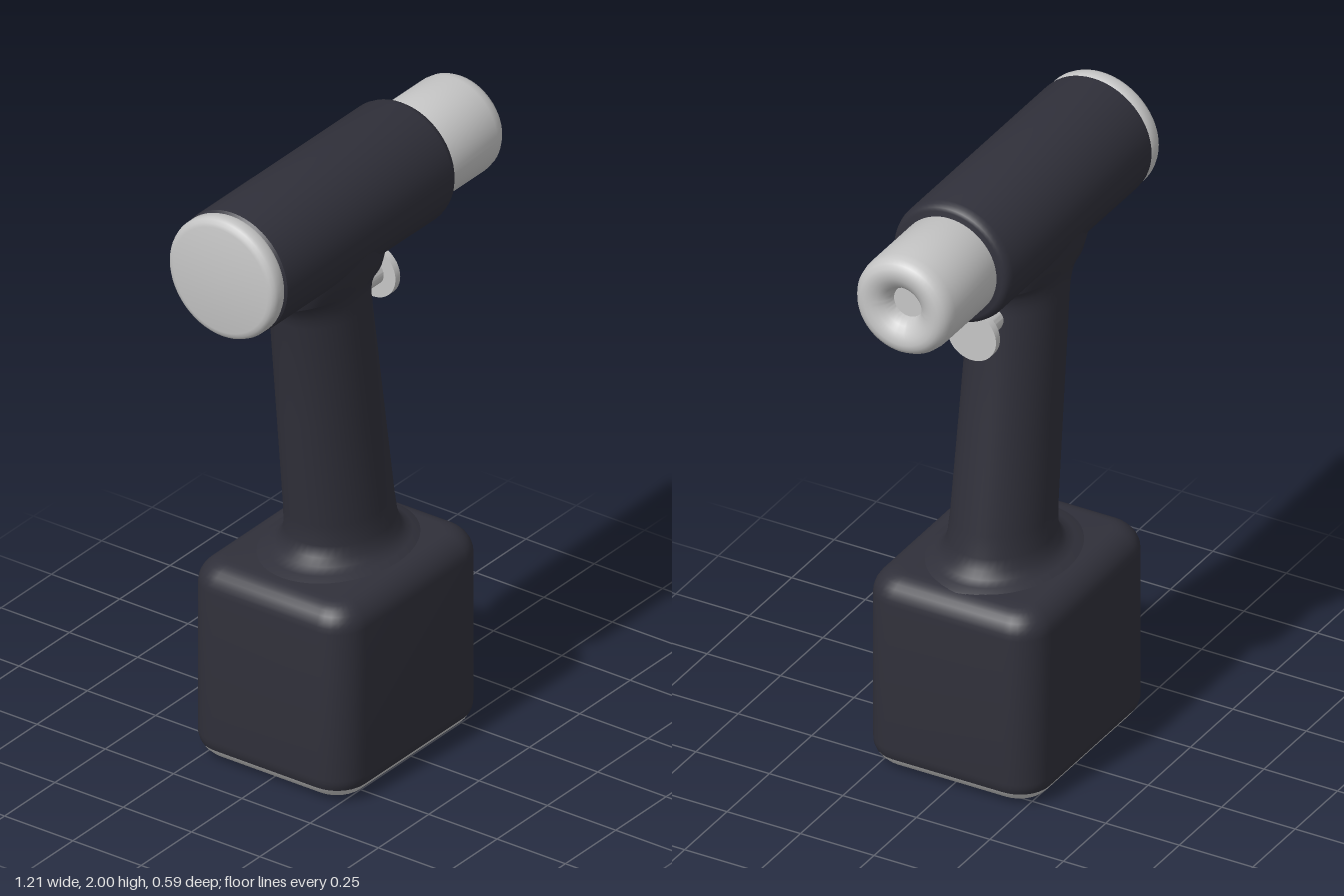
import * as THREE from 'three';
import { toCreasedNormals } from 'three/addons/utils/BufferGeometryUtils.js';

// Skin a stack of closed rings (bottom to top), with optional flat end caps.
function loft(rings, capBottom = false, capTop = false) {
  const n = rings[0].length, pos = [], idx = [];
  rings.forEach(r => r.forEach(p => pos.push(...p)));
  for (let j = 0; j < rings.length - 1; j++) {
    for (let i = 0; i < n; i++) {
      const a = j * n + i, b = j * n + (i + 1) % n;
      idx.push(a, a + n, b, b, a + n, b + n);
    }
  }
  const last = (rings.length - 1) * n;
  for (let i = 1; i < n - 1; i++) {
    if (capBottom) idx.push(0, i, i + 1);
    if (capTop) idx.push(last, last + i + 1, last + i);
  }
  const g = new THREE.BufferGeometry();
  g.setAttribute('position', new THREE.Float32BufferAttribute(pos, 3));
  g.setIndex(idx);
  return toCreasedNormals(g, 0.7);
}

// Elliptical ring spanning x0..x1 and -hz..hz at height y.
function ellipseRing(y, x0, x1, hz, n = 48) {
  return Array.from({ length: n }, (_, i) => {
    const t = (i / n) * Math.PI * 2;
    return [(x0 + x1) / 2 + Math.cos(t) * (x1 - x0) / 2, y, Math.sin(t) * hz];
  });
}

// Rounded rectangle ring for the battery base.
function baseRing(y, inset) {
  const r = Math.max(0.105 - inset * 0.8, 0.03), steps = 7, ring = [];
  const cx = 0.355 - inset - r, cz = 0.295 - inset - r;
  [[1, 1], [-1, 1], [-1, -1], [1, -1]].forEach(([sx, sz], q) => {
    for (let k = 0; k <= steps; k++) {
      const t = (q + k / steps) * Math.PI / 2;
      ring.push([-0.034 + sx * cx + Math.cos(t) * r, y, sz * cz + Math.sin(t) * r]);
    }
  });
  return ring;
}

// Turned part along x; the profile lists [x, radius].
function turned(profile, y) {
  const g = new THREE.LatheGeometry(profile.map(([x, r]) => new THREE.Vector2(r, x)), 56);
  g.rotateZ(-Math.PI / 2);
  g.translate(0, y, 0);
  return toCreasedNormals(g, 0.7);
}

export function createModel() {
  const group = new THREE.Group();
  const dark = new THREE.MeshStandardMaterial({ color: 0x30303a });
  dark.name = 'dark housing';
  const silver = new THREE.MeshStandardMaterial({ color: 0xc6c6c6 });
  silver.name = 'light grey';
  const add = (name, geometry, material) => {
    const m = new THREE.Mesh(geometry, material);
    m.name = name;
    group.add(m);
  };

  // Barrel with softened rims
  add('barrel', turned([[-0.55, 0], [-0.55, 0.192], [-0.543, 0.199], [-0.53, 0.2],
    [0.275, 0.2], [0.29, 0.196], [0.301, 0.188], [0.305, 0.178], [0.305, 0]], 1.8), dark);

  // Rounded rear cap
  add('rearCap', turned([[-0.607, 0], [-0.607, 0.172], [-0.604, 0.184], [-0.596, 0.193],
    [-0.585, 0.197], [-0.56, 0.197], [-0.55, 0.192], [-0.55, 0]], 1.8), silver);

  // Chuck with a dished nose
  add('chuck', turned([[0.29, 0], [0.29, 0.155], [0.31, 0.162], [0.55, 0.162], [0.575, 0.158],
    [0.592, 0.148], [0.602, 0.134], [0.605, 0.118], [0.602, 0.1], [0.594, 0.082],
    [0.58, 0.065], [0.56, 0.053], [0.545, 0.05], [0.545, 0]], 1.8), silver);

  // Leaning grip, flaring into the base and the barrel: y, x0, x1, half depth
  const grip = [
    [0.64, -0.33, 0.28, 0.235], [0.655, -0.3, 0.26, 0.218], [0.662, -0.265, 0.235, 0.195],
    [0.675, -0.23, 0.21, 0.178], [0.695, -0.21, 0.192, 0.164], [0.73, -0.201, 0.181, 0.154],
    [0.8, -0.207, 0.169, 0.15], [1.15, -0.244, 0.115, 0.145], [1.5, -0.28, 0.06, 0.141],
    [1.53, -0.288, 0.059, 0.141], [1.56, -0.303, 0.064, 0.143], [1.58, -0.322, 0.077, 0.146],
    [1.595, -0.35, 0.1, 0.149], [1.603, -0.385, 0.13, 0.152], [1.66, -0.395, 0.14, 0.167],
    [1.72, -0.38, 0.13, 0.186], [1.78, -0.36, 0.11, 0.198]];
  add('grip', loft(grip.map(s => ellipseRing(...s))), dark);

  // Battery base with rounded edges and a light sole
  const R = 0.08, arc = a => R * (1 - Math.cos(a)), rise = a => R * (1 - Math.sin(a));
  const split = Math.asin(1 - 0.045 / R);
  const sole = [], body = [];
  for (let k = 0; k <= 5; k++) {
    const a = Math.PI / 2 + (split - Math.PI / 2) * k / 5;
    sole.push(baseRing(rise(a), arc(a)));
  }
  for (let k = 0; k <= 3; k++) {
    const a = split * (1 - k / 3);
    body.push(baseRing(rise(a), arc(a)));
  }
  for (let k = 0; k <= 7; k++) {
    const a = (Math.PI / 2) * k / 7;
    body.push(baseRing(0.655 - rise(a), arc(a)));
  }
  add('baseSole', loft(sole, true, false), silver);
  add('batteryBase', loft(body, false, true), dark);

  // Button trigger: stem and disc
  add('triggerStem', turned([[0.02, 0], [0.02, 0.04], [0.155, 0.04], [0.155, 0]], 1.487), silver);
  add('triggerDisc', turned([[0.15, 0], [0.15, 0.083], [0.174, 0.083], [0.174, 0]], 1.487), silver);

  return group;
}
